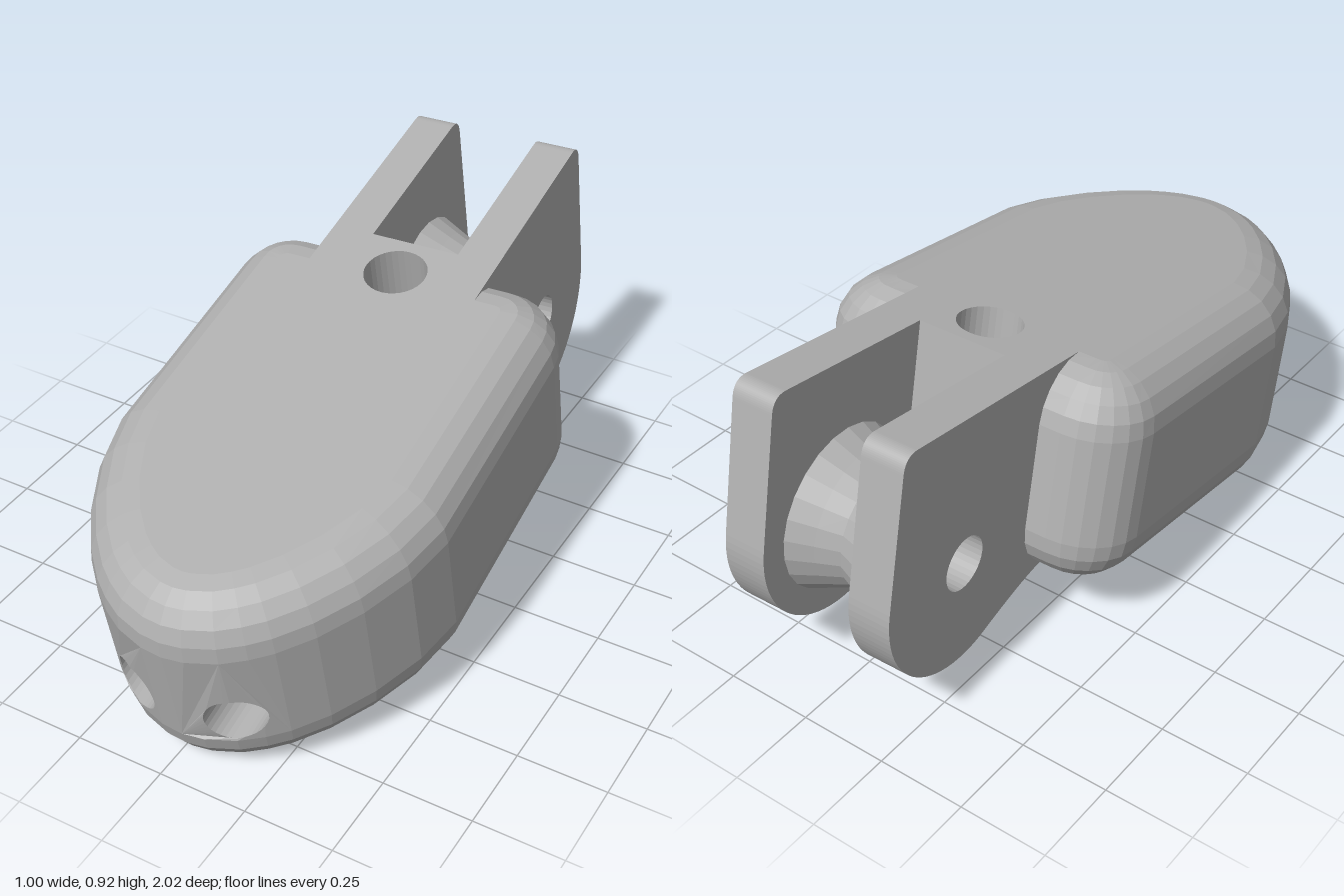
import * as THREE from 'three';

const Y0 = 0.134, Y1 = 0.741, R = 0.15;           // body bottom, top, edge radius
const PIN = { z: -0.777, y: 0.312, r: 0.075 };    // cross pin bore
const SLOT = -0.51, PRONG_IN = 0.13, PRONG_OUT = 0.25;
const NOSE = [[0, 0.91], [0.06, 0.903], [0.14, 0.875], [0.2, 0.837], [0.25, 0.795],
  [0.32, 0.715], [0.39, 0.605], [0.45, 0.47], [0.482, 0.33]];
const NOSE_HOLE = { x: 0.143, y: 0.367, r: 0.072, floor: 0.75 };
const TOP_HOLE = { z: -0.386, r: 0.088, floor: 0.56 };

// z of the nose wall at a given x
function noseZ(x) {
  x = Math.abs(x);
  const i = Math.max(1, NOSE.findIndex(p => p[0] >= x));
  const [a, b] = [NOSE[i - 1], NOSE[i]];
  return a[1] + (b[1] - a[1]) * (x - a[0]) / (b[0] - a[0]);
}

// plan outline of the body, from the nose tip round by +x
function outline() {
  const half = NOSE.map(p => [...p]);
  for (let i = 0; i <= 6; i++) {
    const a = -i * Math.PI / 12;
    half.push([0.312 + 0.17 * Math.cos(a), -0.335 + 0.17 * Math.sin(a)]);
  }
  half.push([0.2, -0.505]);
  const pts = [...half, ...half.slice(1).reverse().map(([x, z]) => [-x, z])];
  const edge = (a, b) => new THREE.Vector2(-(b[1] - a[1]), b[0] - a[0]).normalize();
  return pts.map((p, i) => {
    const prev = pts.at(i - 1), next = pts[(i + 1) % pts.length];
    return { x: p[0], z: p[1], n: edge(prev, p).add(edge(p, next)).normalize() };
  });
}

// joins closed rings of points with quads; skip(ring, segment) leaves openings
function loft(rings, skip = () => false) {
  const pos = [];
  for (let j = 0; j < rings.length - 1; j++) {
    const n = rings[j].length;
    for (let i = 0; i < n; i++) {
      if (skip(j, i)) continue;
      const k = (i + 1) % n;
      const [a, b, c, d] = [rings[j][i], rings[j][k], rings[j + 1][k], rings[j + 1][i]];
      pos.push(...a, ...b, ...c, ...a, ...c, ...d);
    }
  }
  const g = new THREE.BufferGeometry();
  g.setAttribute('position', new THREE.Float32BufferAttribute(pos, 3));
  g.computeVertexNormals();
  return g;
}

const vec = pts => pts.map(([x, y]) => new THREE.Vector2(x, y));
const circle = (x, y, r, n = 32) => Array.from({ length: n }, (_, i) => {
  const a = i / n * Math.PI * 2;
  return [x + r * Math.cos(a), y + r * Math.sin(a)];
});

// side profile of the fork, drawn in (z, y)
function forkProfile(front, back, top) {
  const s = new THREE.Shape();
  s.moveTo(front, top);
  if (back === undefined) {
    s.lineTo(-1.03, top);
    s.quadraticCurveTo(-1.077, top, -1.077, top - 0.05);
    s.lineTo(-1.077, PIN.y);
    s.absarc(PIN.z, PIN.y, 0.3, Math.PI, Math.PI * 2 - 1.134, false);
    s.quadraticCurveTo(-0.46, 0.13, -0.38, 0.138);
    s.holes.push(new THREE.Path(vec(circle(PIN.z, PIN.y, PIN.r))));
  } else {
    s.lineTo(back, top);
    s.lineTo(back, 0.105);
    s.quadraticCurveTo(-0.44, 0.134, -0.38, 0.138);
  }
  s.lineTo(front, 0.16);
  return s;
}

function slab(shape, x0, x1) {
  const g = new THREE.ExtrudeGeometry(shape, { depth: x1 - x0, bevelEnabled: false, curveSegments: 16 });
  return g.rotateY(-Math.PI / 2).translate(x1, 0, 0);
}

export function createModel() {
  const grey = new THREE.MeshStandardMaterial({ color: 0xb0b0b0, flatShading: true, side: THREE.DoubleSide });
  grey.name = 'grey';
  const part = new THREE.Group();
  const add = (name, geo) => {
    const m = new THREE.Mesh(geo, grey);
    m.name = name;
    part.add(m);
  };

  // rounded body shell, open at the nose patch and behind the top hole
  const plan = outline(), steps = 5, levels = [];
  for (let i = 0; i <= steps; i++) {
    const a = (1 - i / steps) * Math.PI / 2;
    levels.push([R * (1 - Math.cos(a)), Y0 + R * (1 - Math.sin(a))]);
  }
  for (let i = steps; i >= 0; i--) levels.push([levels[i][0], Y0 + Y1 - levels[i][1]]);
  const rings = levels.map(([inset, y]) => plan.map(p => [p.x - p.n.x * inset, y, p.z - p.n.y * inset]));
  add('bodyShell', loft(rings, (j, i) => {
    const a = plan[i], b = plan[(i + 1) % plan.length];
    const nose = a.z > 0 && b.z > 0 && Math.max(Math.abs(a.x), Math.abs(b.x)) <= 0.25;
    const rear = a.x > 0 && b.x < 0 && a.z < 0;
    return (nose && j === steps) || (rear && j > steps);
  }));

  // flat bottom, and flat top reaching back to the slot with a round hole
  const capPts = rings[0].map(p => [p[0], -p[2]]);
  add('bodyBottom', new THREE.ShapeGeometry(new THREE.Shape(vec(capPts))).rotateX(Math.PI / 2)
    .scale(1, 1, -1).translate(0, Y0, 0));
  const split = plan.findIndex((p, i) => p.x > 0 && plan[(i + 1) % plan.length].x < 0) + 1;
  const top = new THREE.Shape(vec([...capPts.slice(0, split), [0.2, -SLOT], [-0.2, -SLOT], ...capPts.slice(split)]));
  const topCircle = circle(0, -TOP_HOLE.z, TOP_HOLE.r);
  top.holes.push(new THREE.Path(vec(topCircle)));
  add('bodyTop', new THREE.ShapeGeometry(top).rotateX(-Math.PI / 2).translate(0, Y1, 0));
  add('topHoleWall', loft([Y1, TOP_HOLE.floor].map(y => topCircle.map(([x, z]) => [x, y, -z]))));
  add('topHoleFloor', new THREE.CircleGeometry(TOP_HOLE.r, 32).rotateX(-Math.PI / 2)
    .translate(0, TOP_HOLE.floor, TOP_HOLE.z));

  // nose wall with a blind hole on each side
  for (const s of [1, -1]) {
    const side = s > 0 ? 'left' : 'right';
    const xs = NOSE.slice(0, 5).map(p => p[0] * s);
    const shape = new THREE.Shape(vec([...xs.map(x => [x, Y0 + R]), ...xs.reverse().map(x => [x, Y1 - R])]));
    const rim = circle(NOSE_HOLE.x * s, NOSE_HOLE.y, NOSE_HOLE.r);
    shape.holes.push(new THREE.Path(vec(rim)));
    const g = new THREE.ShapeGeometry(shape), p = g.attributes.position;
    for (let i = 0; i < p.count; i++) p.setZ(i, noseZ(p.getX(i)));
    g.computeVertexNormals();
    add(side + 'NoseWall', g);
    add(side + 'NoseHoleWall', loft([
      rim.map(([x, y]) => [x, y, NOSE_HOLE.floor]).reverse(),
      rim.map(([x, y]) => [x, y, noseZ(x)]).reverse()]));
    add(side + 'NoseHoleFloor', new THREE.CircleGeometry(NOSE_HOLE.r, 32)
      .translate(NOSE_HOLE.x * s, NOSE_HOLE.y, NOSE_HOLE.floor));

    // fork prong
    const [a, b] = s > 0 ? [PRONG_IN, PRONG_OUT] : [-PRONG_OUT, -PRONG_IN];
    add(side + 'Prong', slab(forkProfile(-0.22, undefined, Y1), a, b));
  }

  // web between the prongs and the end wall of the slot
  add('forkWeb', slab(forkProfile(-0.3, SLOT, TOP_HOLE.floor - 0.01), -PRONG_IN, PRONG_IN));
  const wallH = Y1 - TOP_HOLE.floor + 0.01;
  add('slotWall', new THREE.PlaneGeometry(PRONG_IN * 2, wallH).rotateY(Math.PI)
    .translate(0, Y1 - wallH / 2, SLOT));

  // waisted hollow spool between the prongs
  const w = PRONG_IN + 0.003;
  const spool = vec([[PIN.r, -w], [0.228, -w], [0.195, -0.06], [0.17, 0], [0.195, 0.06], [0.228, w], [PIN.r, w], [PIN.r, -w]]);
  add('spool', new THREE.LatheGeometry(spool, 24).rotateZ(Math.PI / 2).translate(0, PIN.y, PIN.z));

  // resting tilt: nose down, slightly turned
  const deg = Math.PI / 180;
  part.name = 'forkedBlock';
  part.rotation.set(10.2 * deg, 2.5 * deg, 1.3 * deg, 'YXZ');
  const model = new THREE.Group();
  model.name = 'model';
  model.add(part);
  model.updateMatrixWorld(true);
  const box = new THREE.Box3().setFromObject(model, true);
  const c = box.getCenter(new THREE.Vector3());
  part.position.set(-c.x, -box.min.y, -c.z);
  return model;
}
